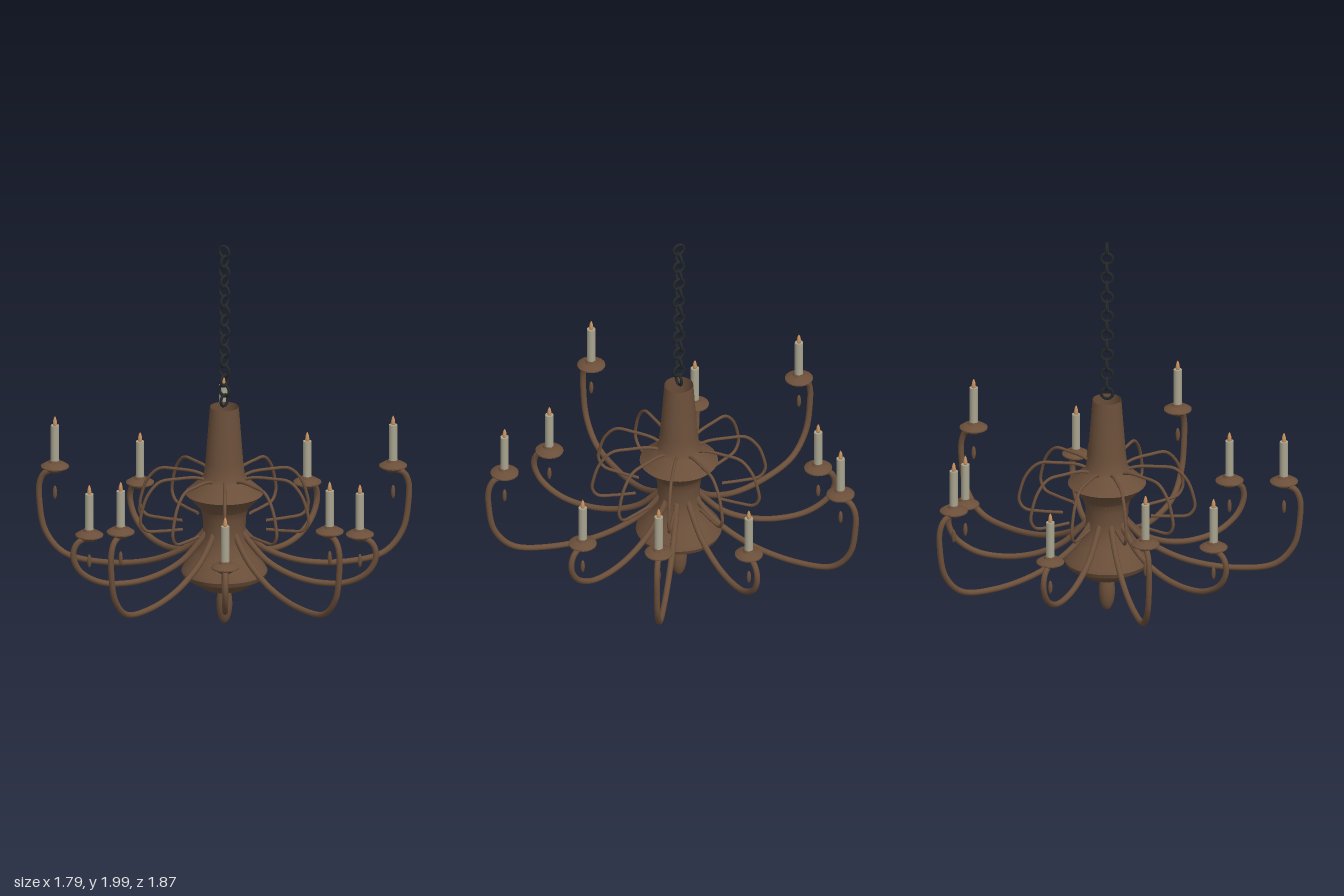
import * as THREE from 'three';
import { toCreasedNormals } from 'three/addons/utils/BufferGeometryUtils.js';

const mat = (color, side = THREE.FrontSide) => new THREE.MeshStandardMaterial({ color, side });
const bronze = mat(0x6b4f3a);
const bronzeOpen = mat(0x6b4f3a, THREE.DoubleSide);
const iron = mat(0x23272a);
const wax = mat(0xa9a48f);
const flameColor = mat(0xc8925f);

const vec2 = (list) => list.map(([x, y]) => new THREE.Vector2(x, y));

function add(parent, name, geometry, material, y = 0, x = 0) {
  const mesh = new THREE.Mesh(geometry, material);
  mesh.name = name;
  mesh.position.set(x, y, 0);
  parent.add(mesh);
  return mesh;
}

function lathe(points, segments, crease = 0.5) {
  return toCreasedNormals(new THREE.LatheGeometry(vec2(points), segments), crease);
}

// Round bar bent through points given as (distance from axis, height)
function bar(points, radius, segments) {
  const curve = new THREE.CatmullRomCurve3(points.map(([r, y]) => new THREE.Vector3(r, y, 0)));
  return new THREE.TubeGeometry(curve, segments, radius, 10, false);
}

export function createModel() {
  const model = new THREE.Group();
  model.name = 'chandelier';
  const axis = new THREE.Group();
  axis.name = 'chandelierBody';
  axis.position.x = 0.09;
  model.add(axis);

  // Turned central column, open at both ends
  add(axis, 'column', lathe([
    [0.055, 0.2], [0.11, 0.2], [0.205, 0.262], [0.215, 0.285], [0.205, 0.305],
    [0.15, 0.375], [0.115, 0.43], [0.105, 0.49], [0.108, 0.57], [0.12, 0.615],
    [0.195, 0.695], [0.118, 0.765], [0.102, 0.79], [0.094, 0.86], [0.072, 1.147],
  ], 40), bronzeOpen);

  // Drop finial under the column
  const finial = add(axis, 'finial', new THREE.SphereGeometry(1, 24, 16), bronze, 0.11);
  finial.scale.set(0.04, 0.105, 0.04);

  // Chain of round links, each turned a quarter from the last
  const link = new THREE.TorusGeometry(0.029, 0.0075, 8, 24);
  for (let i = 0; i < 16; i++) {
    const ring = add(axis, 'chainLink', link, iron, 1.18 + i * 0.0522);
    ring.rotation.y = (i % 2) * Math.PI / 2;
  }

  // Two sizes of arm
  const longArm = bar([
    [0.08, 0.515], [0.13, 0.45], [0.215, 0.375], [0.4, 0.292], [0.64, 0.26], [0.84, 0.29],
    [0.935, 0.395], [0.966, 0.55], [0.965, 0.645], [0.94, 0.697], [0.885, 0.722],
  ], 0.015, 72);
  const shortArm = bar([
    [0.08, 0.515], [0.13, 0.45], [0.22, 0.36], [0.35, 0.297], [0.5, 0.272], [0.65, 0.292],
    [0.755, 0.36], [0.792, 0.44], [0.782, 0.495], [0.755, 0.522], [0.708, 0.534],
  ], 0.015, 64);

  // Thin decorative scroll
  const scroll = bar([
    [0.05, 0.75], [0.1, 0.772], [0.15, 0.788], [0.25, 0.792], [0.34, 0.785],
    [0.4, 0.725], [0.432, 0.64], [0.439, 0.58], [0.41, 0.537], [0.33, 0.526], [0.22, 0.523],
  ], 0.008, 56);

  // Drip pan, candle, flame and pendant
  const pan = lathe([
    [0, -0.028], [0.03, -0.026], [0.05, -0.012], [0.07, -0.002], [0.07, 0.004],
    [0.048, 0.018], [0.032, 0.022], [0.026, 0.032], [0, 0.032],
  ], 24);
  const candle = new THREE.CylinderGeometry(0.021, 0.021, 0.19, 16);
  const flame = new THREE.LatheGeometry(vec2([
    [0, -0.03], [0.008, -0.022], [0.011, -0.01], [0.009, 0.008], [0.005, 0.022], [0, 0.03],
  ]), 12);
  const pendant = new THREE.SphereGeometry(1, 10, 8);
  pendant.scale(0.011, 0.036, 0.011);

  // Ten spokes, long and short alternating
  for (let i = 0; i < 10; i++) {
    const long = i % 2 === 1;
    const spoke = new THREE.Group();
    spoke.name = long ? 'longSpoke' : 'shortSpoke';
    spoke.rotation.y = i * Math.PI / 5;
    axis.add(spoke);

    const r = long ? 0.885 : 0.708;
    const y = long ? 0.737 : 0.547;
    add(spoke, 'arm', long ? longArm : shortArm, bronze);
    add(spoke, 'scroll', scroll, bronzeOpen);
    add(spoke, 'dripPan', pan, bronze, y, r);
    add(spoke, 'candle', candle, wax, y + 0.122, r);
    add(spoke, 'flame', flame, flameColor, y + 0.235, r);
    add(spoke, 'pendant', pendant, bronze, y - 0.137, r);
  }
  return model;
}
